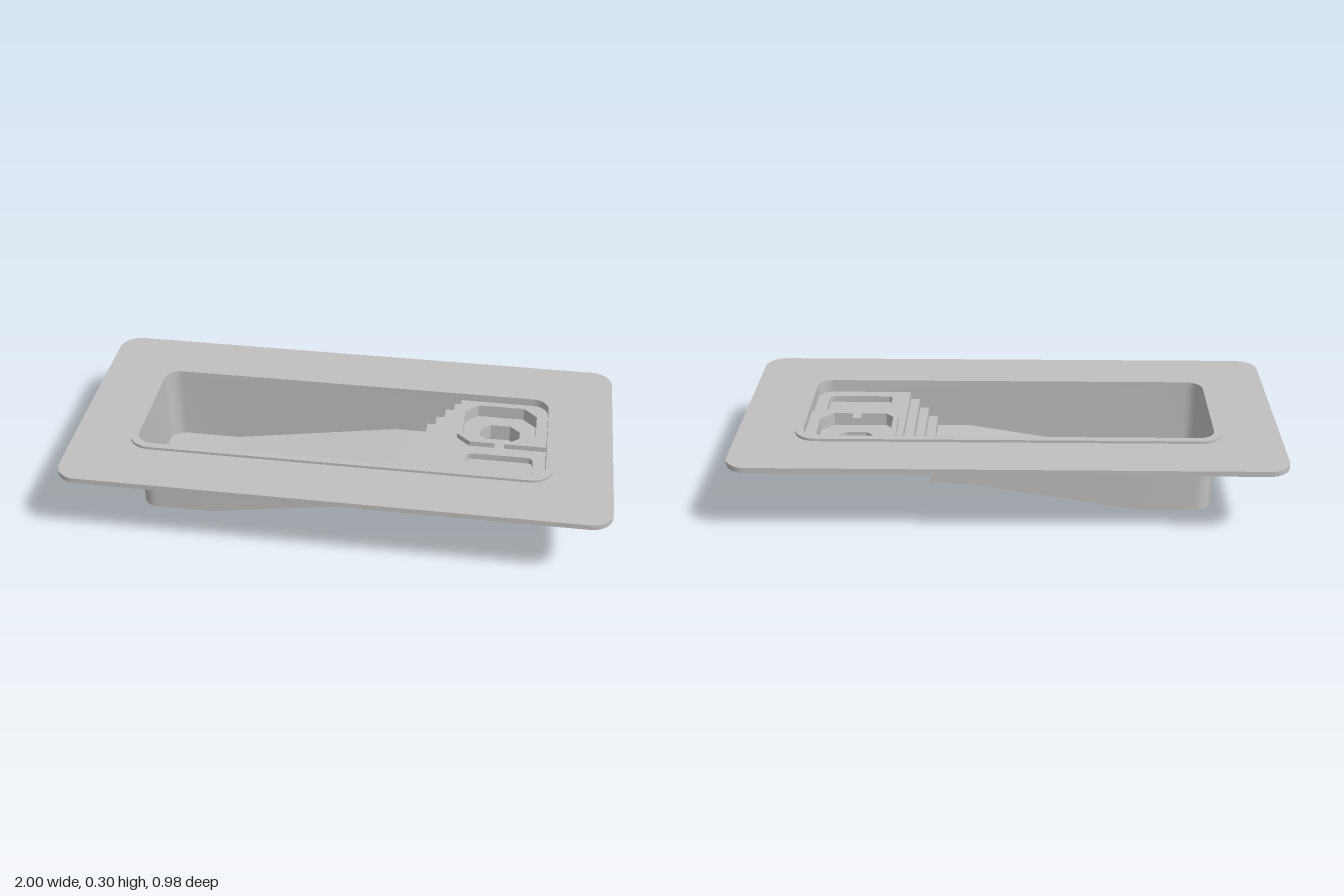
import * as THREE from 'three';
import { toCreasedNormals } from 'three/addons/utils/BufferGeometryUtils.js';

const HX = 0.757, HZ = 0.247, R = 0.06;            // basin half-length, half-width, corner radius
const DECK_Y = 0.27, SHELF_Y = 0.25, SEAT_Y = 0.22, WELL_Y = 0.155;

// Points of an arc in plan (x, z)
function arc(cx, cz, r, a0, a1, n = 8) {
  return Array.from({ length: n + 1 }, (_, i) => {
    const a = a0 + (a1 - a0) * i / n;
    return [cx + r * Math.cos(a), cz + r * Math.sin(a)];
  });
}

// Rounded rectangle in plan
function roundRect(x0, x1, z0, z1, r, n = 8) {
  const q = Math.PI / 2;
  return [
    ...arc(x1 - r, z1 - r, r, 0, q, n), ...arc(x0 + r, z1 - r, r, q, 2 * q, n),
    ...arc(x0 + r, z0 + r, r, 2 * q, 3 * q, n), ...arc(x1 - r, z0 + r, r, 3 * q, 4 * q, n),
  ];
}

const toVec = (pts) => pts.map(([x, z]) => new THREE.Vector2(x, -z));

function planShape(pts, hole) {
  const shape = new THREE.Shape(toVec(pts));
  if (hole) shape.holes.push(new THREE.Path(toVec(hole)));
  return shape;
}

// Horizontal face at height y
function plate(pts, y, hole) {
  return new THREE.ShapeGeometry(planShape(pts, hole)).rotateX(-Math.PI / 2).translate(0, y, 0);
}

// Solid ring between two heights
function slab(pts, hole, y0, y1) {
  const g = new THREE.ExtrudeGeometry(planShape(pts, hole), { depth: y1 - y0, bevelEnabled: false });
  return toCreasedNormals(g.rotateX(-Math.PI / 2).translate(0, y0, 0), 0.6);
}

// Surface from a list of four-cornered faces
function quads(list) {
  const pos = [];
  for (const [a, b, c, d] of list) pos.push(...a, ...b, ...c, ...a, ...c, ...d);
  const g = new THREE.BufferGeometry();
  g.setAttribute('position', new THREE.Float32BufferAttribute(pos, 3));
  return toCreasedNormals(g, 0.5);
}

// Vertical wall following a plan path
function skirt(pts, y0, y1, closed = false) {
  const path = closed ? [...pts, pts[0]] : pts;
  return quads(path.slice(1).map(([x, z], i) => {
    const [px, pz] = path[i];
    return [[px, y0, pz], [x, y0, z], [x, y1, z], [px, y1, pz]];
  }));
}

// Basin half-width at x, narrowing round the deep-end corners
function halfWidth(x) {
  const d = Math.max(0, -HX + R - x);
  return HZ - R + Math.sqrt(Math.max(0, R * R - d * d));
}

export function createModel() {
  const group = new THREE.Group();
  group.name = 'swimmingPool';
  const grey = new THREE.MeshStandardMaterial({ color: 0xc0c0c0, side: THREE.DoubleSide });
  grey.name = 'plainGrey';
  const add = (name, geometry) => {
    const mesh = new THREE.Mesh(geometry, grey);
    mesh.name = name;
    group.add(mesh);
  };

  // Deck and raised coping around the opening
  const opening = roundRect(-HX, HX, -HZ, HZ, R);
  add('deck', slab(roundRect(-1, 1, -0.488, 0.488, 0.08), opening, DECK_Y, 0.29));
  add('coping', slab(roundRect(-0.787, 0.787, -0.275, 0.275, 0.085), opening, 0.29, 0.3));

  // Floor profile: deep end, slope, shallow end, then steps
  const profile = [];
  for (let i = 0; i <= 8; i++) profile.push([-HX + R * (1 - Math.cos(i * Math.PI / 16)), 0]);
  profile.push([-0.48, 0], [0.16, 0.105], [0.29, 0.105]);
  [0.145, 0.182, 0.22, SHELF_Y].forEach((y, i) => {
    const x = 0.29 + i * 0.035;
    profile.push([x, y], [i < 3 ? x + 0.035 : 0.42, y]);
  });

  const floor = [], walls = [];
  const w0 = halfWidth(-HX);
  walls.push([[-HX, 0, -w0], [-HX, 0, w0], [-HX, DECK_Y, w0], [-HX, DECK_Y, -w0]]);
  for (let i = 1; i < profile.length; i++) {
    const [xa, ya] = profile[i - 1], [xb, yb] = profile[i];
    const wa = halfWidth(xa), wb = halfWidth(xb);
    floor.push([[xa, ya, wa], [xb, yb, wb], [xb, yb, -wb], [xa, ya, -wa]]);
    if (xb === xa) continue;
    walls.push([[xa, ya, wa], [xb, yb, wb], [xb, DECK_Y, wb], [xa, DECK_Y, wa]]);
    walls.push([[xb, yb, -wb], [xa, ya, -wa], [xa, DECK_Y, -wa], [xb, DECK_Y, -wb]]);
  }
  add('basinFloorAndSteps', quads(floor));
  add('basinWalls', quads(walls));

  // Shelf beside the spa, with a shallow sunken tray
  const shelfEdge = [[HX, 0.025], ...arc(HX - R, HZ - R, R, 0, Math.PI / 2), [0.42, HZ]];
  const tray = roundRect(0.463, 0.71, 0.072, 0.205, 0.02, 4);
  add('shelf', plate([[0.42, -0.02], [0.47, 0.025], ...shelfEdge], SHELF_Y, tray));
  add('shelfWall', skirt(shelfEdge, SHELF_Y, DECK_Y));
  add('trayWall', skirt(tray, 0.225, SHELF_Y, true));
  add('trayFloor', plate(tray, 0.225));

  // Spa surround, open at a narrow spillway
  const spa = [
    [0.565, 0.005], [0.47, 0.005], [0.44, -0.025], [0.44, -0.17], [0.49, -0.22],
    [0.665, -0.22], [0.715, -0.17], [0.715, -0.04], [0.67, 0.005], [0.6, 0.005],
  ];
  const rim = [
    [0.42, -HZ], [0.42, -0.02], [0.47, 0.025], [0.565, 0.025],
    ...spa, [0.6, 0.025], [HX, 0.025],
  ];
  const backCorner = arc(HX - R, -HZ + R, R, 0, -Math.PI / 2);
  add('spaSurround', plate([...rim, ...backCorner], DECK_Y));
  add('spaUpperWall', skirt(rim, SHELF_Y, DECK_Y));
  add('spillway', plate([[0.565, 0.005], [0.565, 0.025], [0.6, 0.025], [0.6, 0.005]], SHELF_Y));

  // Spa seat ring and foot well
  const well = [
    [0.505, -0.09], [0.505, -0.13], [0.543, -0.165], [0.617, -0.165],
    [0.655, -0.13], [0.655, -0.09], [0.617, -0.055], [0.543, -0.055],
  ];
  add('spaLowerWall', skirt(spa, SEAT_Y, SHELF_Y, true));
  add('spaSeat', plate(spa, SEAT_Y, well));
  add('footWellWall', skirt(well, WELL_Y, SEAT_Y, true));
  add('footWellFloor', plate(well, WELL_Y));

  return group;
}
